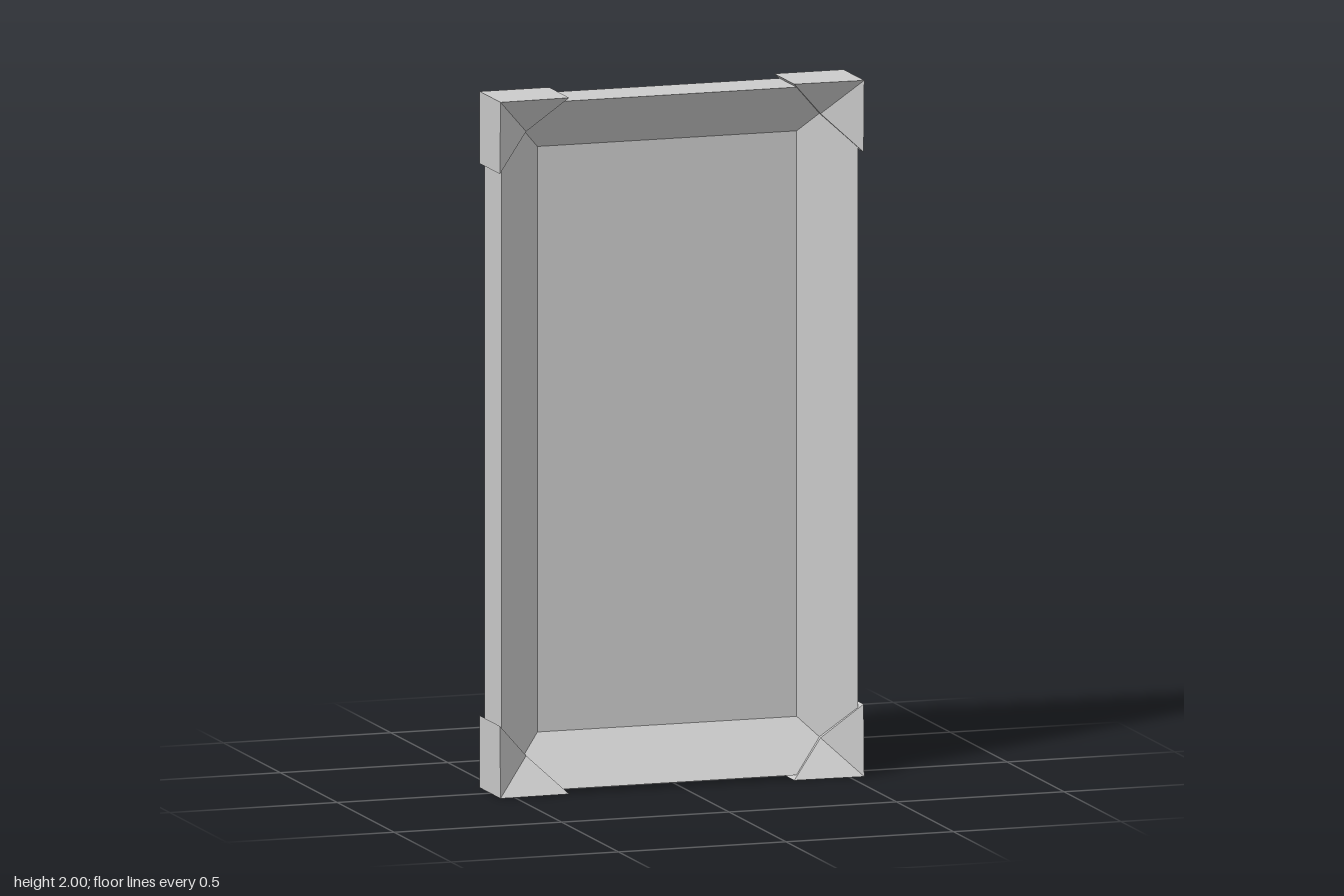
import * as THREE from 'three';

const material = new THREE.MeshStandardMaterial({ color: 0xcccccc, flatShading: true });

// Joins rings of points (counter-clockwise seen from +z) from back to front, with fan caps.
function loft(rings, capFront = true) {
  const positions = [];
  const tri = (a, b, c) => positions.push(...a, ...b, ...c);
  const n = rings[0].length;
  for (let r = 0; r < rings.length - 1; r++) {
    const lower = rings[r], upper = rings[r + 1];
    for (let i = 0; i < n; i++) {
      const j = (i + 1) % n;
      tri(lower[i], lower[j], upper[j]);
      tri(lower[i], upper[j], upper[i]);
    }
  }
  const back = rings[0], front = rings[rings.length - 1];
  for (let i = 1; i < n - 1; i++) {
    tri(back[0], back[i + 1], back[i]);
    if (capFront) tri(front[0], front[i], front[i + 1]);
  }
  const geometry = new THREE.BufferGeometry();
  geometry.setAttribute('position', new THREE.Float32BufferAttribute(positions, 3));
  geometry.computeVertexNormals();
  return geometry;
}

const rectangle = (x, y, z) => [[-x, -y, z], [x, -y, z], [x, y, z], [-x, y, z]];

function addMesh(group, name, geometry) {
  const mesh = new THREE.Mesh(geometry, material);
  mesh.name = name;
  group.add(mesh);
  return mesh;
}

export function createModel() {
  const model = new THREE.Group();
  model.name = 'framedPanel';
  const halfW = 0.532, halfH = 0.988, innerW = 0.387, innerH = 0.841, innerZ = -0.045;

  // Frame with a flat back and mitred slopes running in to the panel
  const frame = addMesh(model, 'frame', loft([
    rectangle(halfW, halfH, -0.082),
    rectangle(halfW, halfH, 0.068),
    rectangle(innerW, innerH, innerZ),
  ], false));
  frame.position.y = 1;

  // Recessed panel
  const panel = addMesh(model, 'panel', new THREE.PlaneGeometry(2 * innerW, 2 * innerH));
  panel.position.set(0, 1, innerZ);

  // Triangular corner caps, creased to follow the frame slopes; outer corner at the origin
  const leg = 0.207, mid = leg / 2;
  const corner = loft([
    [[0, 0, -0.093], [-leg, 0, -0.093], [-mid, -mid, -0.093], [0, -leg, -0.093]],
    [[0, 0, 0.09], [-leg, 0, 0.084], [-mid, -mid, 0.01], [0, -leg, 0.084]],
  ]);
  const places = [
    ['topLeftCorner', 1, 2], ['topRightCorner', -1, 2],
    ['bottomRightCorner', -1, 0], ['bottomLeftCorner', 1, 0],
  ];
  places.forEach(([name, side, y], i) => {
    const cap = addMesh(model, name, corner);
    cap.position.set(side * 0.543, y, 0);
    cap.rotation.z = i * Math.PI / 2;
  });

  return model;
}
